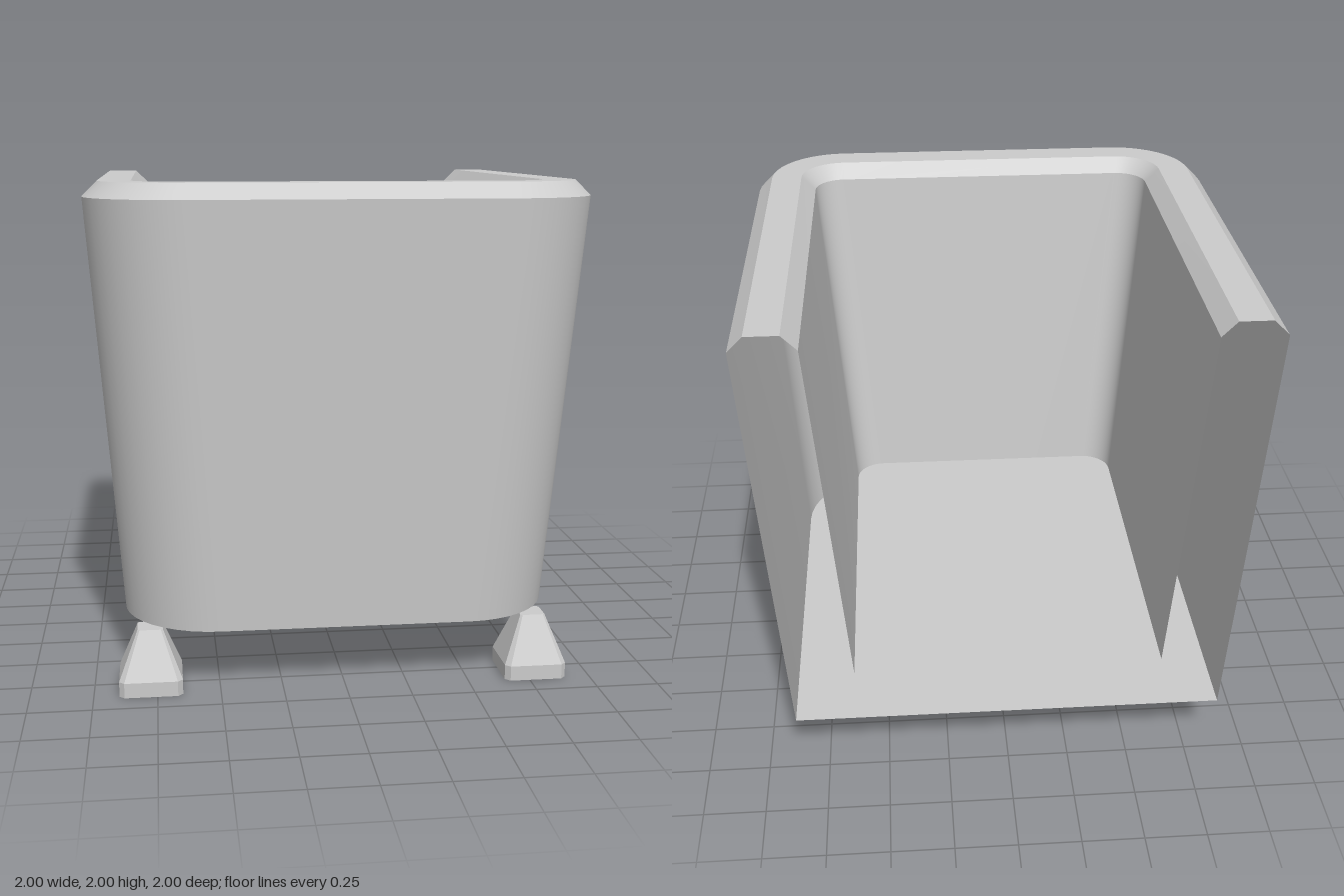
import * as THREE from 'three';
import { toCreasedNormals } from 'three/addons/utils/BufferGeometryUtils.js';

const material = new THREE.MeshStandardMaterial({ color: 0xcccccc, side: THREE.DoubleSide });

// Skin a surface through rings of equal point count
function loft(rings, crease) {
  const n = rings[0].length;
  const index = [];
  for (let i = 0; i < rings.length - 1; i++) {
    for (let j = 0; j < n - 1; j++) {
      const a = i * n + j, d = a + n;
      index.push(a, a + 1, d + 1, a, d + 1, d);
    }
  }
  const geometry = new THREE.BufferGeometry().setFromPoints(rings.flat());
  geometry.setIndex(index);
  return toCreasedNormals(geometry, crease);
}

// U-shaped outline, open at the back, with two rounded front corners.
// half: half width, centre: corner arc centre, widthScale 0 folds it onto the middle line
function uRing(half, centre, y, widthScale = 1) {
  const radius = half - centre, steps = 10;
  const points = [new THREE.Vector3(-half * widthScale, y, -1)];
  for (const side of [-1, 1]) {
    for (let i = 0; i <= steps; i++) {
      const t = i / steps;
      const a = (side < 0 ? t - 1 : t) * Math.PI / 2;
      points.push(new THREE.Vector3(
        (side * centre + radius * Math.sin(a)) * widthScale, y, centre + radius * Math.cos(a)));
    }
  }
  points.push(new THREE.Vector3(half * widthScale, y, -1));
  return points;
}

// Square outline with small cut corners
function footRing(half, cut, y) {
  const inner = half - cut;
  const corners = [[-inner, half], [inner, half], [half, inner], [half, -inner],
    [inner, -half], [-inner, -half], [-half, -inner], [-half, inner], [-inner, half]];
  return corners.map(([x, z]) => new THREE.Vector3(x, y, z));
}

export function createModel() {
  const model = new THREE.Group();

  // Tapered hollow shell: underside, outer wall, bevelled rim, inner wall, floor
  const shell = new THREE.Mesh(loft([
    uRing(0.875, 0.5, 0.25, 0),
    uRing(0.875, 0.5, 0.25),
    uRing(1, 0.625, 1.94),
    uRing(0.94, 0.625, 2),
    uRing(0.81, 0.625, 2),
    uRing(0.75, 0.625, 1.94),
    uRing(0.625, 0.5, 0.485),
    uRing(0.625, 0.5, 0.485, 0),
  ], 0.5), material);
  shell.name = 'tubShell';
  model.add(shell);

  // Two flared feet under the front corners
  const footGeometry = loft([
    footRing(0, 0, 0),
    footRing(0.125, 0.02, 0),
    footRing(0.125, 0.02, 0.06),
    footRing(0.05, 0.008, 0.25),
    footRing(0, 0, 0.25),
  ], 0.3);
  for (const side of [-1, 1]) {
    const foot = new THREE.Mesh(footGeometry, material);
    foot.name = side > 0 ? 'frontFootLeft' : 'frontFootRight';
    foot.position.set(side * 0.775, 0, 0.775);
    model.add(foot);
  }
  return model;
}
